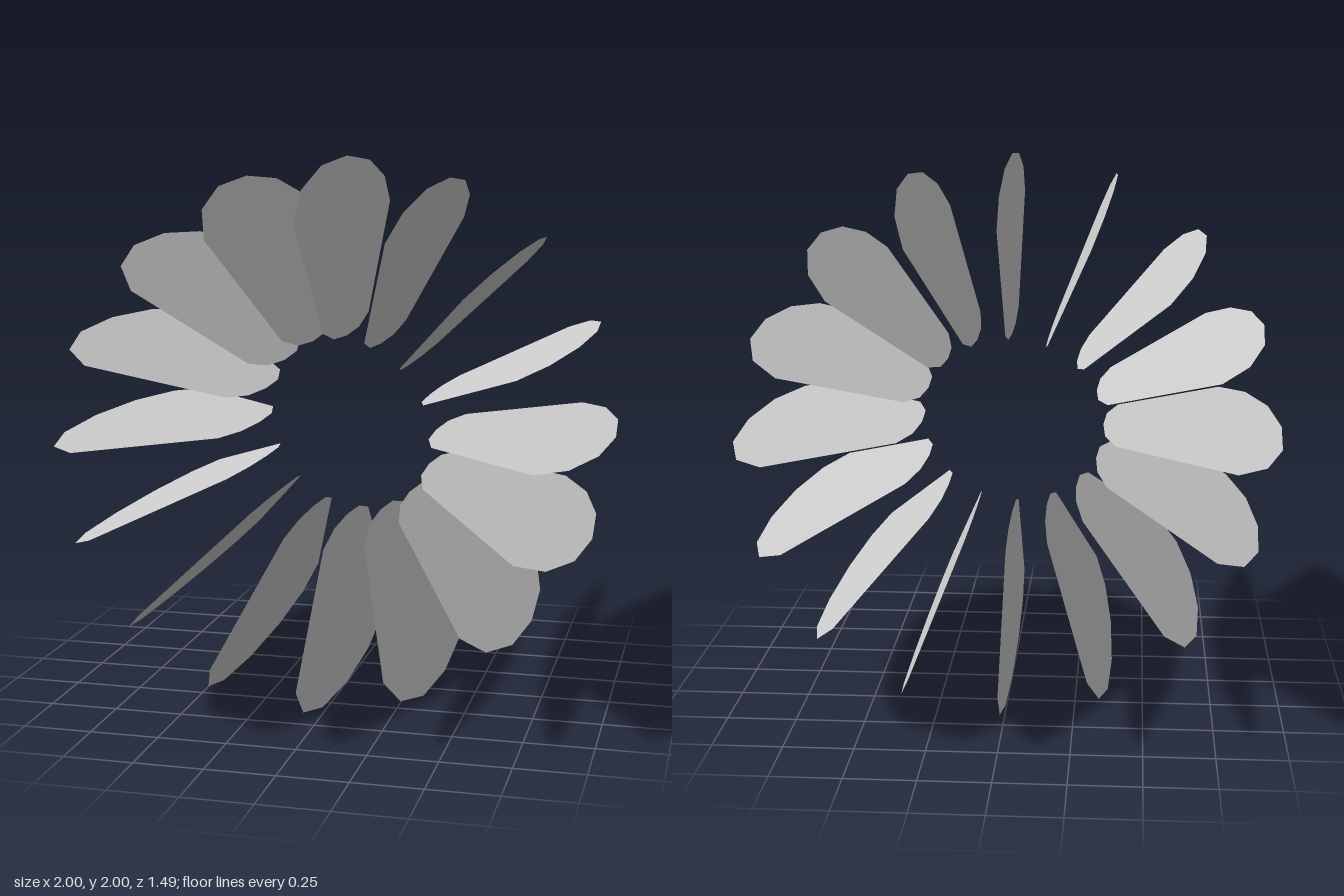
import * as THREE from 'three';

export function createModel() {
  const group = new THREE.Group();
  const material = new THREE.MeshStandardMaterial({
    color: 0xcccccc, flatShading: true, side: THREE.DoubleSide,
  });

  // Half outline of one blade as [radius, z], from outer middle to inner middle
  const half = [
    [1, 0], [0.975, 0.375], [0.903, 0.645], [0.8, 0.745],
    [0.39, 0.36], [0.35, 0.2], [0.34, 0],
  ];
  const mirrored = half.slice(1, -1).reverse().map(([r, z]) => [r, -z]);
  const outline = [...half, ...mirrored].map(([r, z]) => new THREE.Vector2(r, z));

  // Flat blade lying in the xz plane
  const blade = new THREE.ShapeGeometry(new THREE.Shape(outline));
  blade.rotateX(Math.PI / 2);

  // Ring of blades fanned around the z axis
  const count = 16;
  for (let i = 0; i < count; i++) {
    const mesh = new THREE.Mesh(blade, material);
    mesh.name = `blade${i + 1}`;
    mesh.position.y = 1;
    mesh.rotation.z = (i / count) * Math.PI * 2;
    group.add(mesh);
  }
  group.name = 'bladeRing';
  return group;
}
